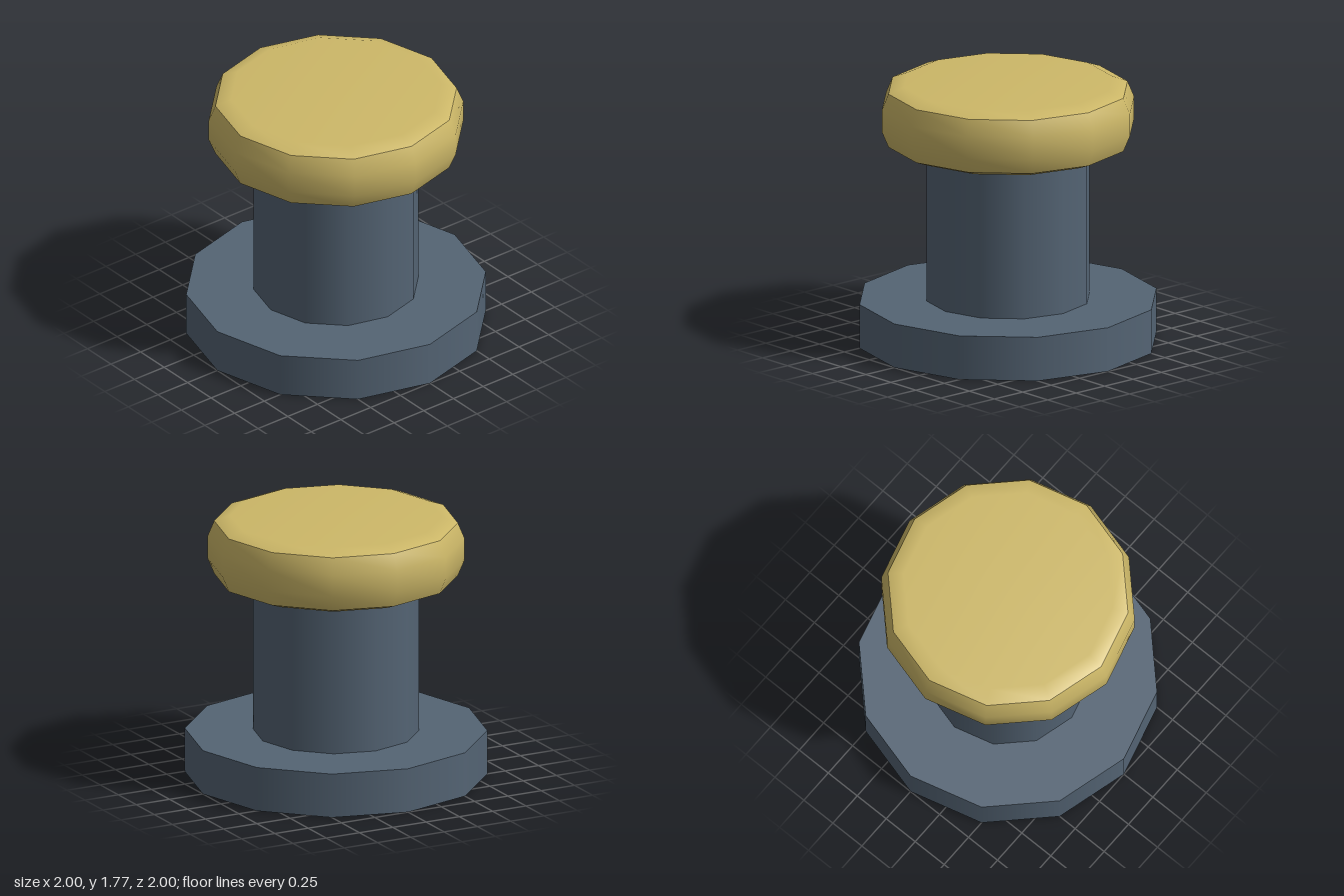
import * as THREE from 'three';

const SIDES = 12;

export function createModel() {
  const model = new THREE.Group();
  model.name = 'mooringPost';

  const slate = new THREE.MeshStandardMaterial({ color: 0x546474 });
  slate.name = 'slate blue';
  const brass = new THREE.MeshStandardMaterial({ color: 0xcdb868 });
  brass.name = 'brass yellow';

  const add = (parent, name, geometry, material, y = 0) => {
    const mesh = new THREE.Mesh(geometry, material);
    mesh.name = name;
    mesh.position.y = y;
    parent.add(mesh);
  };

  // Base plate and column
  add(model, 'base', new THREE.CylinderGeometry(1, 1, 0.3, SIDES), slate, 0.15);
  add(model, 'column', new THREE.CylinderGeometry(0.55, 0.55, 1.04, SIDES, 1, true), slate, 0.82);

  // Rounded cap, split at its two creases so each section shades smoothly
  const cap = new THREE.Group();
  cap.name = 'cap';
  model.add(cap);
  const sections = {
    capUnderside: [[0, 1.33], [0.7, 1.33], [0.805, 1.37]],
    capRim: [[0.805, 1.37], [0.85, 1.478], [0.85, 1.627], [0.805, 1.735]],
    capTop: [[0.805, 1.735], [0.7, 1.775], [0, 1.775]],
  };
  for (const [name, profile] of Object.entries(sections)) {
    const points = profile.map(([r, y]) => new THREE.Vector2(r, y));
    add(cap, name, new THREE.LatheGeometry(points, SIDES), brass);
  }

  return model;
}
